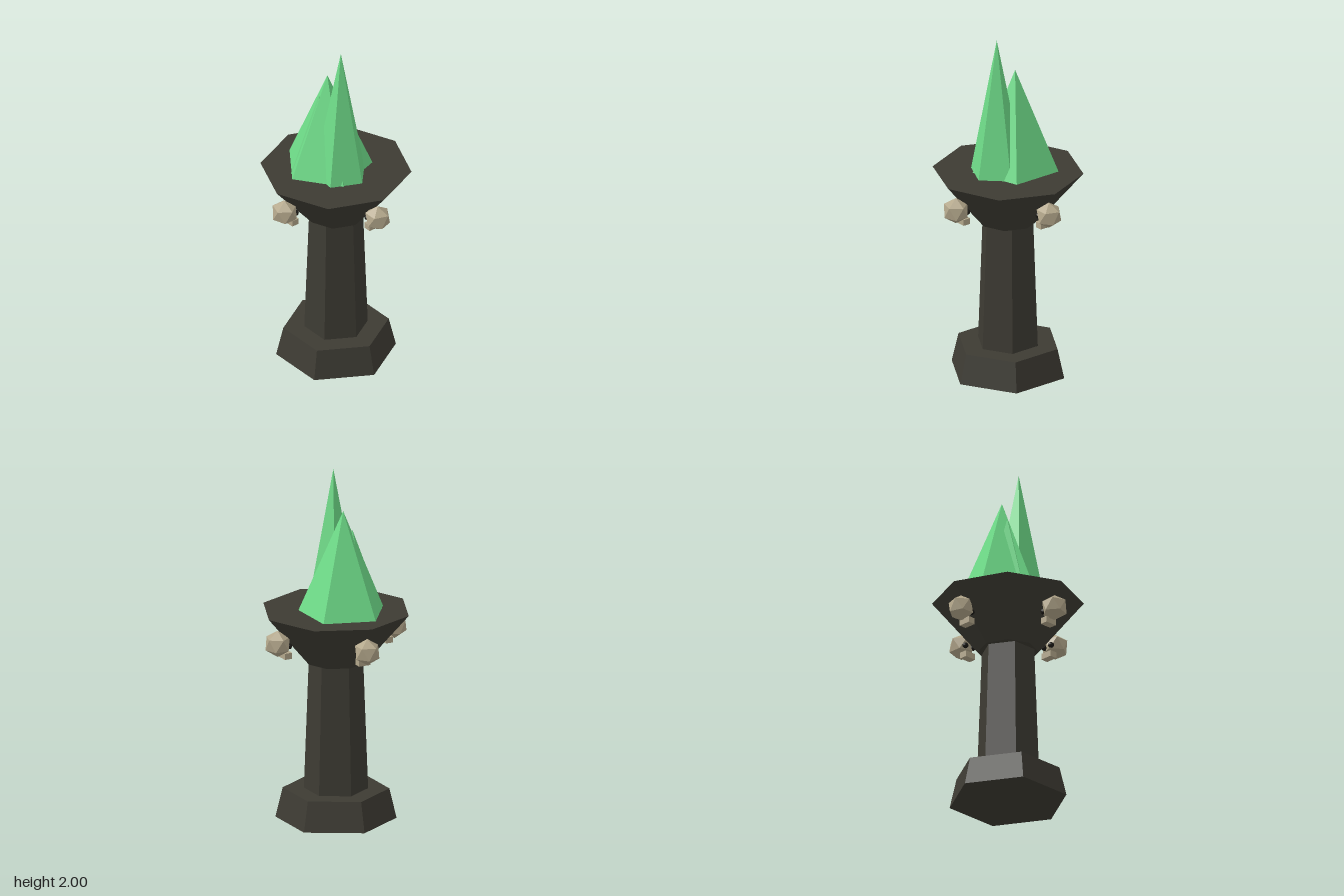
import * as THREE from 'three';

const flat = (name, color, opts = {}) => {
  const m = new THREE.MeshStandardMaterial({ color, flatShading: true, ...opts });
  m.name = name;
  return m;
};

export function createModel() {
  const stone = flat('dark stone', 0x3d3b33);
  const crystal = flat('green crystal', 0x6edb88);
  const bone = flat('bone', 0xb3a78b);
  const socket = flat('dark socket', 0x1c1a16);

  const model = new THREE.Group();
  model.name = 'crystalPedestal';

  const add = (parent, name, geometry, material, x, y, z) => {
    const mesh = new THREE.Mesh(geometry, material);
    mesh.name = name;
    mesh.position.set(x, y, z);
    parent.add(mesh);
    return mesh;
  };

  // Tapered ring of stone between two heights
  const tier = (name, rBottom, rTop, y0, y1, sides) =>
    add(model, name, new THREE.CylinderGeometry(rTop, rBottom, y1 - y0, sides), stone, 0, (y0 + y1) / 2, 0);

  tier('base', 0.335, 0.295, 0, 0.17, 6);
  tier('column', 0.178, 0.15, 0.16, 0.93, 6);
  tier('bowl', 0.17, 0.42, 0.91, 1.205, 8);

  // Crystals: apex x, apex z, apex height, radius at the bowl, turn
  const bowlTop = 1.204;
  [
    ['largeCrystal', -0.013, -0.06, 1.79, 0.25, -90],
    ['tallCrystal', -0.018, 0.065, 2.0, 0.154, 11],
    ['smallCrystal', -0.066, -0.07, 1.675, 0.17, 40],
  ].forEach(([name, x, z, top, r, turn]) => {
    const h = top - bowlTop;
    const mesh = add(model, name, new THREE.ConeGeometry(r, h, 5), crystal, x, bowlTop + h / 2, z);
    mesh.rotation.y = THREE.MathUtils.degToRad(turn);
  });

  // Skulls on the four sides, faces turned inward; local +x points outward
  const cranium = new THREE.IcosahedronGeometry(0.076, 0);
  cranium.rotateZ(-Math.atan(2 / (1 + Math.sqrt(5)))); // one corner straight up
  cranium.rotateY(Math.PI / 10);
  const jaw = new THREE.BoxGeometry(0.045, 0.035, 0.072);
  const eye = new THREE.IcosahedronGeometry(0.017, 1);

  for (let i = 0; i < 4; i++) {
    const skull = new THREE.Group();
    skull.name = 'skull';
    skull.rotation.y = i * Math.PI / 2;
    add(skull, 'cranium', cranium, bone, 0.366, 1.06, 0);
    add(skull, 'jaw', jaw, bone, 0.317, 0.99, 0);
    for (const s of [-1, 1]) add(skull, 'eyeSocket', eye, socket, 0.308, 1.045, s * 0.027);
    model.add(skull);
  }

  return model;
}
